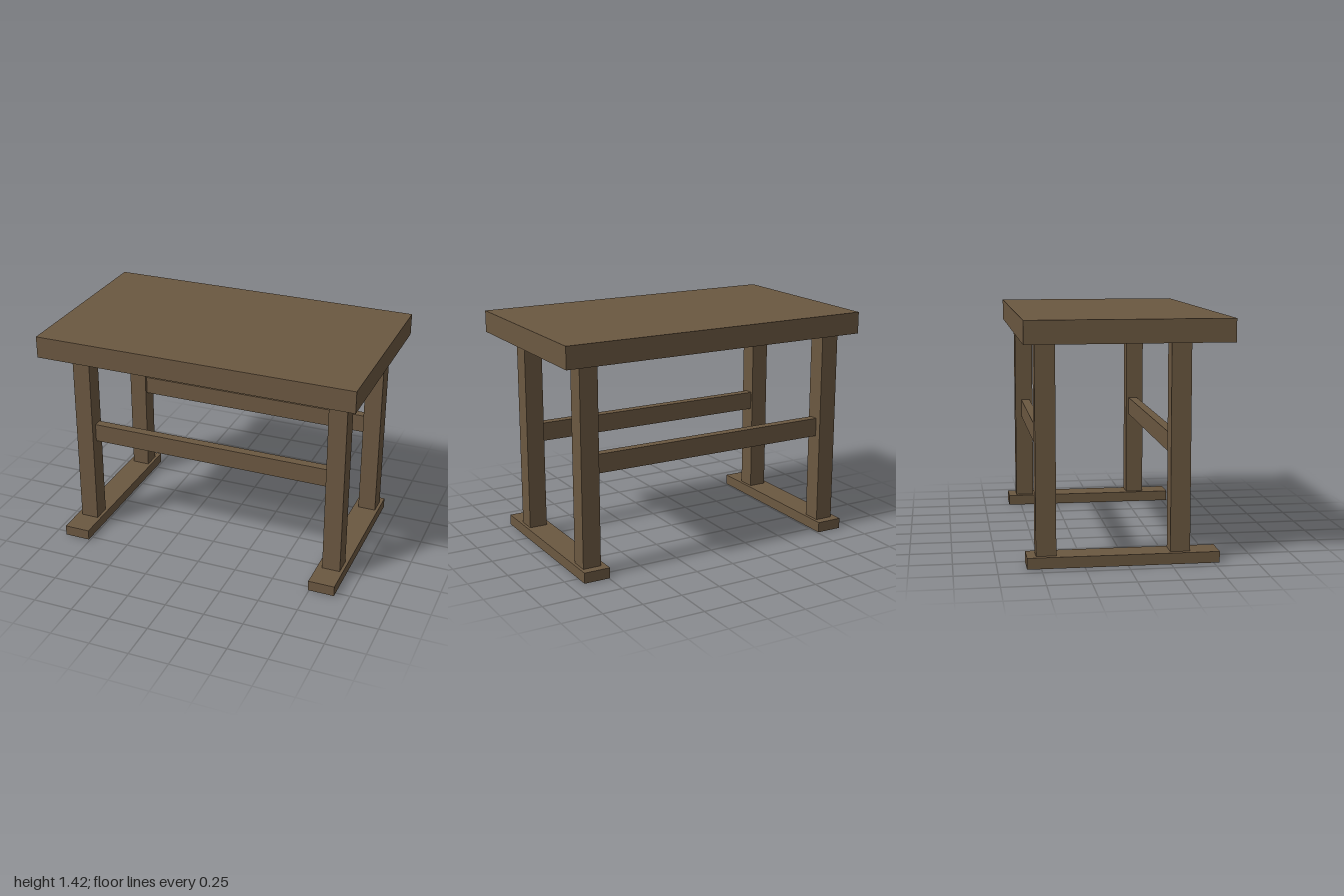
import * as THREE from 'three';

export function createModel() {
  const table = new THREE.Group();
  table.name = 'table';
  const wood = new THREE.MeshStandardMaterial({ color: 0x6b5841 });
  wood.name = 'brownWood';

  // Box spanning [min, max] on each axis
  function beam(name, [x0, x1], [y0, y1], [z0, z1]) {
    const mesh = new THREE.Mesh(new THREE.BoxGeometry(x1 - x0, y1 - y0, z1 - z0), wood);
    mesh.position.set((x0 + x1) / 2, (y0 + y1) / 2, (z0 + z1) / 2);
    mesh.name = name;
    table.add(mesh);
  }

  const footTop = 0.066, slabBottom = 1.285;
  beam('tabletop', [-1, 1], [slabBottom, 1.42], [-0.597, 0.597]);

  // One foot and two legs at each end
  const ends = [
    { side: 'right', foot: [-0.925, -0.76], leg: [-0.893, -0.78] },
    { side: 'left', foot: [0.743, 0.909], leg: [0.776, 0.89] },
  ];
  // Leg and rail depths of the front and back pairs
  const rows = [
    { row: 'front', leg: [0.25, 0.366], rail: [0.267, 0.324] },
    { row: 'back', leg: [-0.529, -0.412], rail: [-0.489, -0.433] },
  ];

  for (const { side, foot, leg } of ends) {
    beam(`${side}Foot`, foot, [0, footTop], [-0.582, 0.535]);
    for (const r of rows) beam(`${r.row}${side === 'left' ? 'Left' : 'Right'}Leg`, leg, [footTop, slabBottom], r.leg);
  }

  // Long rails joining the two ends
  for (const r of rows) beam(`${r.row}Rail`, [-0.78, 0.776], [0.622, 0.738], r.rail);

  return table;
}
